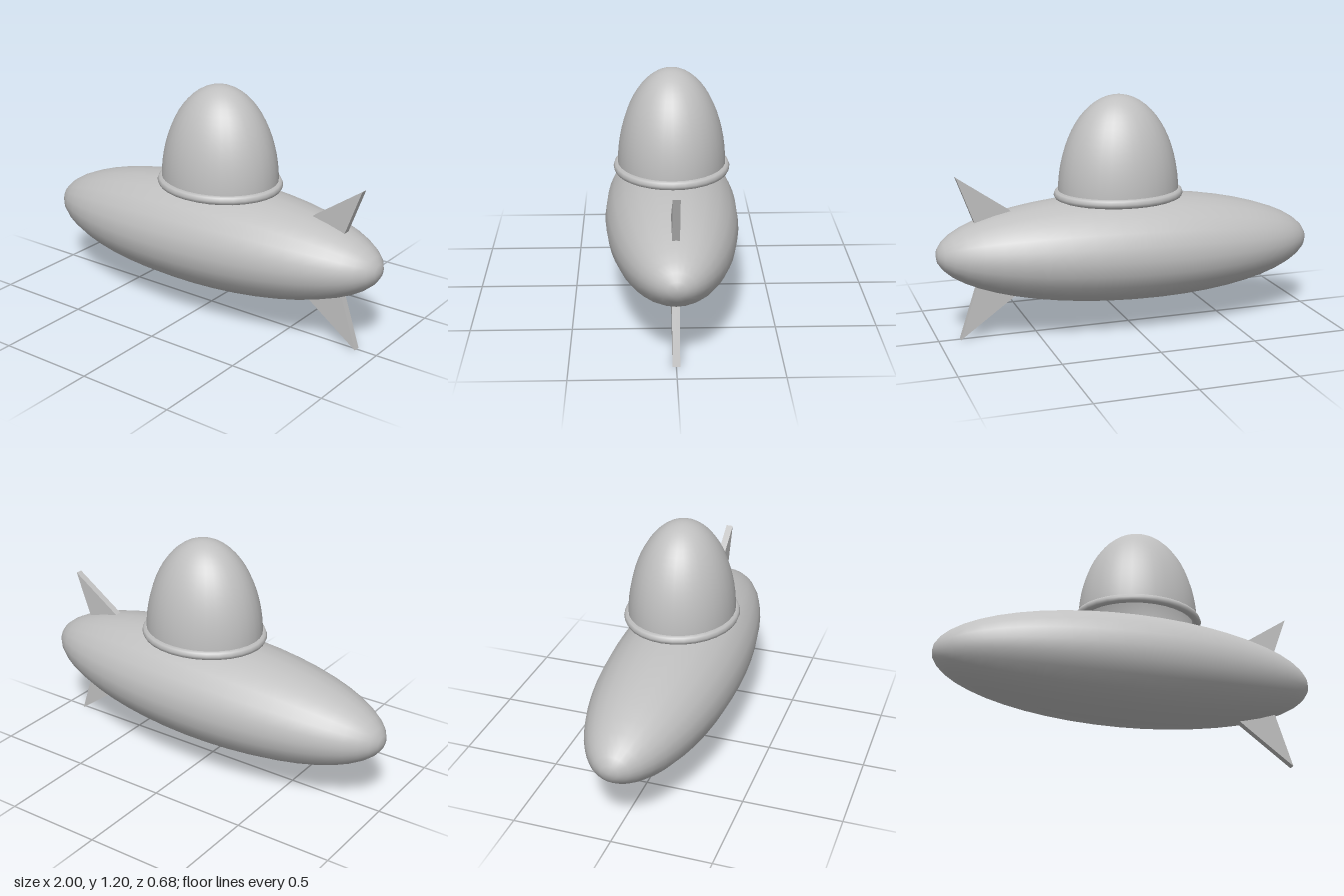
import * as THREE from 'three';

export function createModel() {
  const model = new THREE.Group();
  const grey = new THREE.MeshStandardMaterial({ color: 0xc0c0c0, side: THREE.DoubleSide });
  grey.name = 'plain grey';

  const add = (name, geometry) => {
    const mesh = new THREE.Mesh(geometry, grey);
    mesh.name = name;
    model.add(mesh);
    return mesh;
  };

  // Long ellipsoid hull, poles along x, tail tilted slightly up
  const hull = new THREE.SphereGeometry(1, 24, 24);
  hull.rotateZ(-Math.PI / 2);
  hull.scale(1, 0.278, 0.34);
  hull.rotateZ(0.03);
  hull.translate(0, 0.413, 0);
  add('hull', hull);

  // Tall open dome, oval in plan
  const dome = new THREE.SphereGeometry(1, 32, 16, 0, Math.PI * 2, 0, Math.PI / 2);
  dome.scale(0.311, 0.5, 0.272);
  dome.translate(0.053, 0.7, 0);
  add('dome', dome);

  // Oval collar round the dome's open rim
  const collar = new THREE.TorusGeometry(1, 0.075, 8, 32);
  collar.rotateX(Math.PI / 2);
  collar.scale(0.31, 0.31, 0.273);
  collar.translate(0.053, 0.697, 0);
  add('domeCollar', collar);

  // Thin swept tail fins, rooted inside the hull: leading root, tip, trailing root
  const fins = {
    upperFin: [[0.49, 0.555], [0.89, 0.83], [0.775, 0.52]],
    lowerFin: [[0.46, 0.31], [0.89, 0], [0.77, 0.365]],
  };
  for (const [name, corners] of Object.entries(fins)) {
    const shape = new THREE.Shape(corners.map(([x, y]) => new THREE.Vector2(x, y)));
    const fin = new THREE.ExtrudeGeometry(shape, { depth: 0.036, bevelEnabled: false });
    fin.translate(0, 0, -0.018);
    add(name, fin);
  }

  return model;
}
